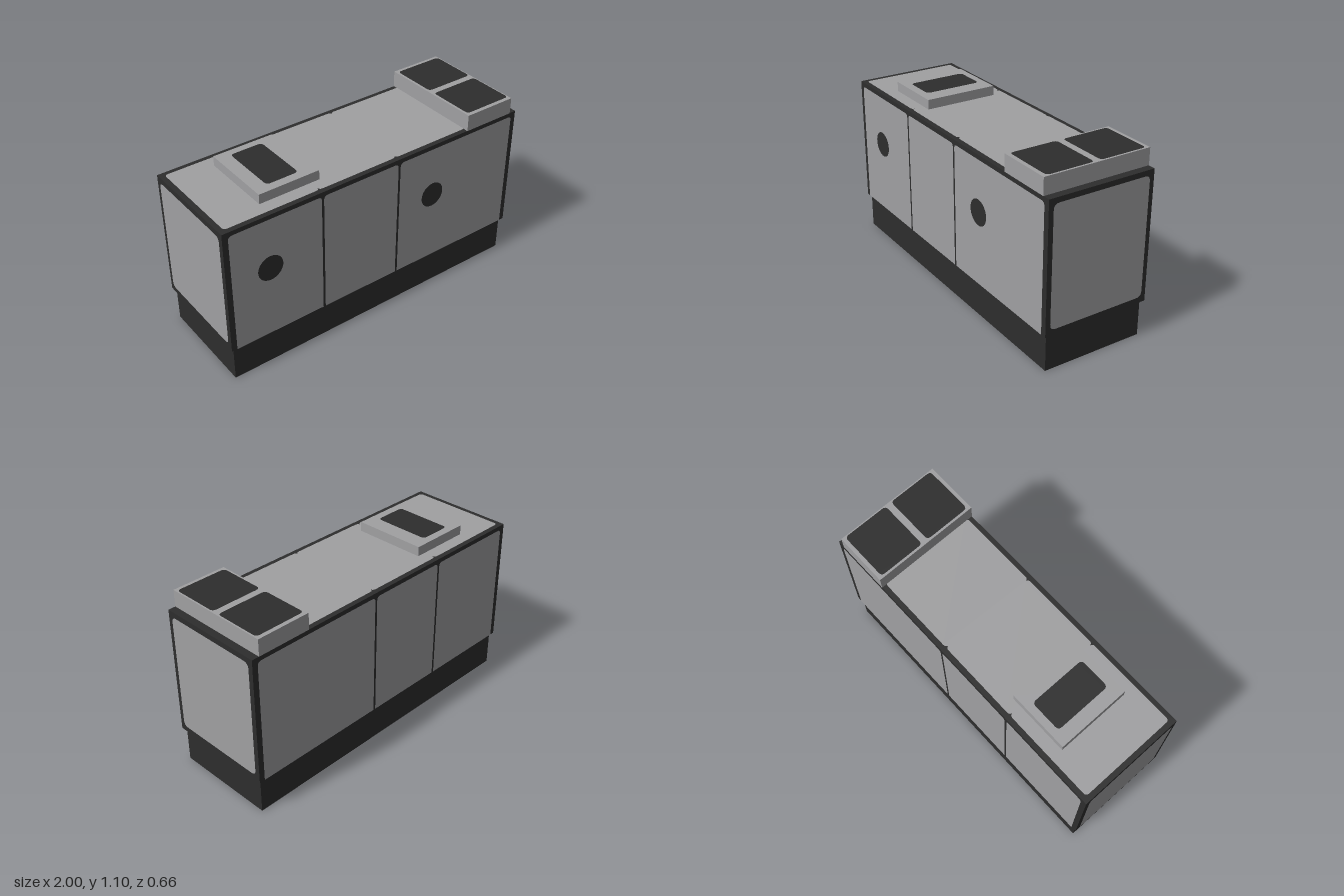
import * as THREE from 'three';

const LIFT = 0.002; // painted faces sit just clear of the surface

// Rectangle with separate corner radii for the bottom and top edges
function panelShape(x0, x1, y0, y1, rBottom, rTop) {
  const s = new THREE.Shape();
  s.moveTo(x0 + rBottom, y0);
  s.lineTo(x1 - rBottom, y0);
  if (rBottom) s.quadraticCurveTo(x1, y0, x1, y0 + rBottom);
  s.lineTo(x1, y1 - rTop);
  if (rTop) s.quadraticCurveTo(x1, y1, x1 - rTop, y1);
  s.lineTo(x0 + rTop, y1);
  if (rTop) s.quadraticCurveTo(x0, y1, x0, y1 - rTop);
  s.lineTo(x0, y0 + rBottom);
  if (rBottom) s.quadraticCurveTo(x0, y0, x0 + rBottom, y0);
  return s;
}

export function createModel() {
  const model = new THREE.Group();
  model.name = 'cabinet';
  const grey = new THREE.MeshStandardMaterial({ color: 0xa0a0a2 });
  grey.name = 'panelGrey';
  const dark = new THREE.MeshStandardMaterial({ color: 0x2d2d2d });
  dark.name = 'frameDark';

  function add(name, geometry, material, parent = model) {
    const mesh = new THREE.Mesh(geometry, material);
    mesh.name = name;
    parent.add(mesh);
    return mesh;
  }
  function box(name, x0, x1, y0, y1, z0, z1, material) {
    const g = new THREE.BoxGeometry(x1 - x0, y1 - y0, z1 - z0);
    g.translate((x0 + x1) / 2, (y0 + y1) / 2, (z0 + z1) / 2);
    return add(name, g, material);
  }
  // Horizontal painted face, z0..z1 across the depth
  function topFace(name, x0, x1, z0, z1, y, r, material) {
    const g = new THREE.ShapeGeometry(panelShape(x0, x1, -z1, -z0, r, r), 6);
    g.rotateX(-Math.PI / 2).translate(0, y + LIFT, 0);
    return add(name, g, material);
  }

  // Frame and hollow plinth, open underneath
  box('frame', -0.998, 0.998, 0.22, 1, -0.328, 0.328, dark);
  const ring = panelShape(-0.98, 0.98, -0.31, 0.31, 0, 0);
  ring.holes.push(panelShape(-0.975, 0.975, -0.305, 0.305, 0, 0));
  const plinth = new THREE.ExtrudeGeometry(ring, { depth: 0.22, bevelEnabled: false });
  plinth.rotateX(-Math.PI / 2);
  add('plinth', plinth, dark);

  // Long-side panels, divided by two narrow seams
  const seams = [-0.39, 0.125], gap = 0.007;
  const spans = [[-0.965, seams[0] - gap], [seams[0] + gap, seams[1] - gap], [seams[1] + gap, 0.965]];
  for (const side of [1, -1]) {
    const group = new THREE.Group();
    group.name = side > 0 ? 'frontPanels' : 'backPanels';
    for (const [a, b] of spans) {
      const [x0, x1] = side > 0 ? [a, b] : [-b, -a];
      add('sidePanel', new THREE.ShapeGeometry(panelShape(x0, x1, 0.222, 0.975, 0, 0.025), 6), grey, group);
    }
    group.position.z = 0.33;
    const pivot = new THREE.Group();
    pivot.name = group.name + 'Mount';
    pivot.rotation.y = side > 0 ? 0 : Math.PI;
    pivot.add(group);
    model.add(pivot);
  }

  // End panels
  for (const side of [1, -1]) {
    const g = new THREE.ShapeGeometry(panelShape(-0.3, 0.3, 0.255, 0.97, 0.035, 0.035), 6);
    g.translate(0, 0, 0.998 + LIFT).rotateY(side * Math.PI / 2);
    add(side > 0 ? 'leftEndPanel' : 'rightEndPanel', g, grey);
  }

  // Round ports on the front
  for (const x of [-0.73, 0.375]) {
    add('port', new THREE.CircleGeometry(0.078, 40), dark).position.set(x, 0.667, 0.332);
  }

  // Roof panels meet edge to edge, leaving corner notches
  const roof = [-0.968, -0.39, 0.12, 0.625];
  for (let i = 0; i < 3; i++) topFace('roofPanel', roof[i], roof[i + 1], -0.3, 0.3, 1, 0.022, grey);

  // Low roof unit with one vent
  box('lowRoofUnit', -0.71, -0.335, 1, 1.06, -0.225, 0.222, grey);
  topFace('lowVent', -0.63, -0.433, -0.18, 0.172, 1.06, 0.025, dark);

  // Tall roof unit with two vents
  box('tallRoofUnit', 0.62, 0.953, 1, 1.1, -0.329, 0.329, grey);
  for (const [z0, z1] of [[-0.307, -0.02], [0.02, 0.307]]) {
    topFace('tallVent', 0.633, 0.945, z0, z1, 1.1, 0.025, dark);
  }
  return model;
}
